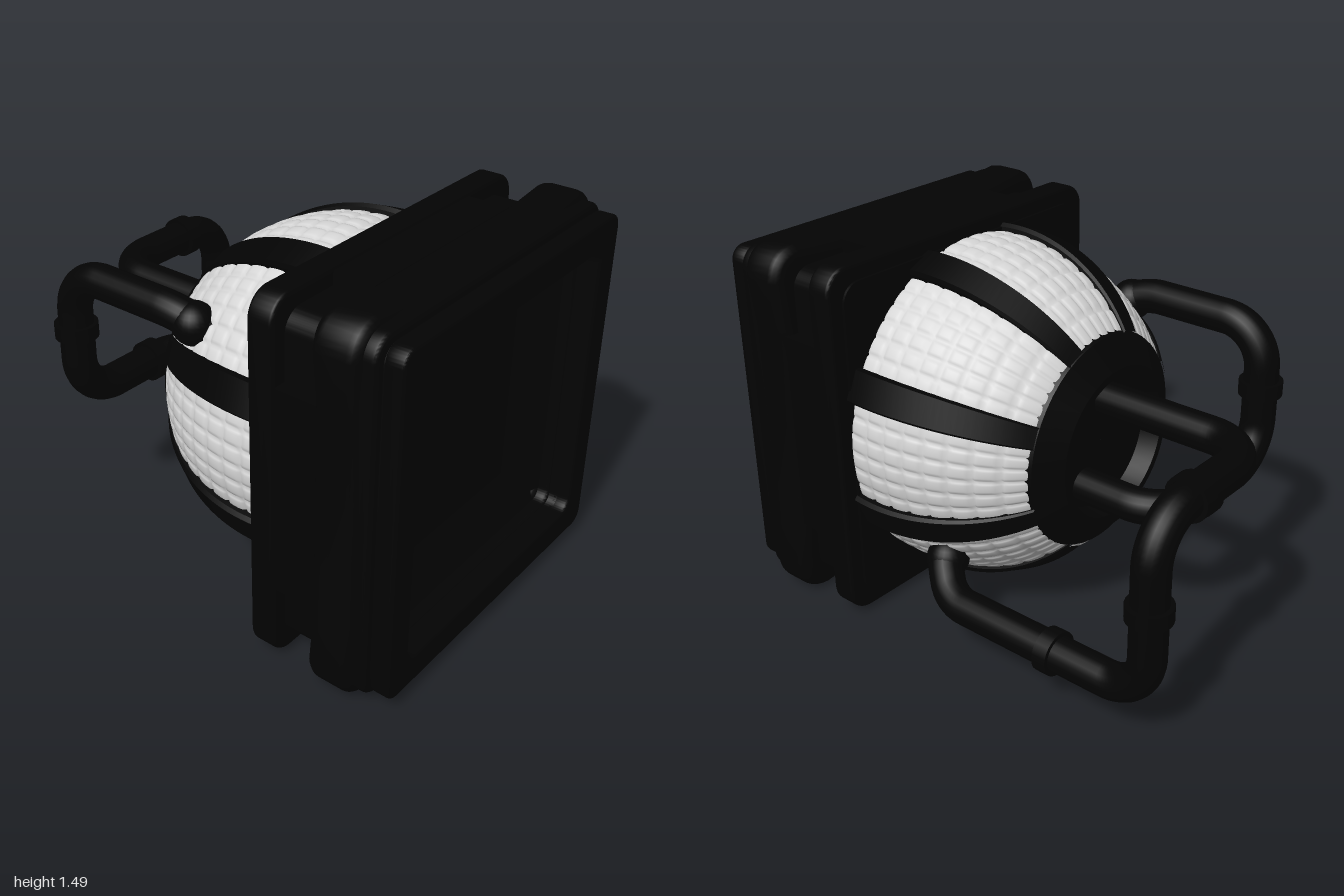
import * as THREE from 'three';
import { toCreasedNormals } from 'three/addons/utils/BufferGeometryUtils.js';

const CY = 0.745; // height of the lamp axis

export function createModel() {
  const model = new THREE.Group();
  const black = new THREE.MeshStandardMaterial({ name: 'black', color: 0x030303 });
  const white = new THREE.MeshStandardMaterial({ name: 'quilted white', color: 0xd6d6d6 });

  function add(parent, name, geo, mat = black) {
    const mesh = new THREE.Mesh(geo, mat);
    mesh.name = name;
    parent.add(mesh);
    return mesh;
  }

  // ---------- square housing: a stack of extruded outlines ----------
  const housing = new THREE.Group();
  housing.name = 'housing';
  housing.position.y = CY;
  model.add(housing);

  function roundedSquare(h, r, T = THREE.Shape) {
    const s = new T();
    s.moveTo(-h + r, -h);
    s.absarc(h - r, -h + r, r, -Math.PI / 2, 0);
    s.absarc(h - r, h - r, r, 0, Math.PI / 2);
    s.absarc(-h + r, h - r, r, Math.PI / 2, Math.PI);
    s.absarc(-h + r, -h + r, r, Math.PI, Math.PI * 1.5);
    return s;
  }

  // square with flared corners
  function flaredSquare() {
    const s = new THREE.Shape();
    for (let k = 0; k < 4; k++) {
      const c = Math.round(Math.cos(k * Math.PI / 2)), n = Math.round(Math.sin(k * Math.PI / 2));
      const p = (x, y) => [x * c - y * n, x * n + y * c];
      if (k === 0) s.moveTo(...p(-0.42, -0.722));
      else s.lineTo(...p(-0.42, -0.722));
      s.lineTo(...p(0.42, -0.722));
      s.lineTo(...p(0.62, -0.745));
      s.quadraticCurveTo(...p(0.735, -0.735), ...p(0.745, -0.62));
    }
    return s;
  }

  function slab(name, shape, z0, z1, bevel, hole) {
    if (hole) shape.holes.push(roundedSquare(hole, 0.05, THREE.Path));
    const geo = new THREE.ExtrudeGeometry(shape, {
      depth: z1 - z0 - 2 * bevel, bevelEnabled: bevel > 0, bevelThickness: bevel,
      bevelSize: bevel, bevelOffset: -bevel, bevelSegments: 4, curveSegments: 8,
    });
    geo.translate(0, 0, z0 + bevel);
    return add(housing, name, toCreasedNormals(geo, 0.6));
  }

  slab('backPlate', roundedSquare(0.726, 0.1), 0.42, 0.525, 0.015);
  slab('housingCore', roundedSquare(0.66, 0.08), 0.41, 0.72, 0);
  slab('cornerGuard', flaredSquare(), 0.68, 0.87, 0.045, 0.54);
  slab('middleRing', roundedSquare(0.714, 0.09), 0.83, 0.915, 0.02, 0.56);
  slab('neckRing', roundedSquare(0.675, 0.07), 0.9, 0.95, 0, 0.57);
  slab('frontRing', roundedSquare(0.69, 0.06), 0.925, 1, 0.012, 0.57);

  // square tray in the front opening: sloping sides and a flat floor
  const trayProfile = [[0.58, 0.88], [0.55, 0.86], [0.41, 0.77], [0.001, 0.77]]
    .map(([h, z]) => new THREE.Vector2(h * Math.SQRT2, z));
  const tray = new THREE.LatheGeometry(trayProfile, 4, Math.PI / 4);
  tray.rotateX(Math.PI / 2);
  add(housing, 'frontTray', toCreasedNormals(tray, 0.3));

  // panels filling the groove on each side
  for (let k = 0; k < 4; k++) {
    const side = new THREE.Group();
    side.name = 'housingSide';
    side.rotation.z = k * Math.PI / 2;
    housing.add(side);
    add(side, 'sidePanel', new THREE.BoxGeometry(0.82, 0.1, 0.18)).position.set(0, 0.663, 0.605);
  }

  // ---------- dome: quilted panels between eight ribs ----------
  const dome = new THREE.Group();
  dome.name = 'dome';
  dome.position.y = CY;
  model.add(dome);
  const Z0 = -0.26, Z1 = 0.42;
  const domeRadius = (z) => 0.67 * Math.sqrt(1 - ((z - 0.32) / 0.73) ** 2);

  // bends a plane grid round the dome; rule(u, v) gives [angle, extra radius]
  function domeSurface(nu, nv, rule) {
    const geo = new THREE.PlaneGeometry(1, 1, nu, nv);
    const pos = geo.attributes.position;
    for (let i = 0; i < pos.count; i++) {
      const u = pos.getX(i) + 0.5, v = pos.getY(i) + 0.5;
      const [a, dr] = rule(u, v);
      const z = Z0 + (Z1 - Z0) * v, r = domeRadius(z) + dr;
      pos.setXYZ(i, Math.cos(a) * r, Math.sin(a) * r, z);
    }
    geo.computeVertexNormals();
    return geo;
  }

  const COLS = 6, ROWS = 8, HALF = 0.32, RIB = 0.1;
  // rib cross-section: angle, and height as a share of the rib's thickness
  const ribSection = [[-RIB, -1], [-RIB, 0.6], [-RIB * 0.85, 1],
    [RIB * 0.85, 1], [RIB, 0.6], [RIB, -1]];
  for (let k = 0; k < 8; k++) {
    const mid = k * Math.PI / 4;
    add(dome, 'quiltedPanel', domeSurface(COLS * 7, ROWS * 7, (u, v) => {
      const puff = Math.abs(Math.sin(u * COLS * Math.PI) * Math.sin(v * ROWS * Math.PI));
      return [mid + (u - 0.5) * 2 * HALF, 0.01 * Math.pow(puff, 0.25)];
    }), white);
    const rib = domeSurface(5, 24, (u, v) => {
      const [a, h] = ribSection[Math.round(u * 5)];
      return [mid + Math.PI / 8 + a, h * (0.026 + 0.017 * v)];
    });
    add(dome, 'rib', toCreasedNormals(rib, 0.5));
  }

  // chamfered end cap with a hollow where the pipes enter
  const capProfile = [[0.4, 0.2], [0.435, 0.235], [0.425, 0.26], [0.32, 0.332],
    [0.29, 0.332], [0.275, 0.25], [0.001, 0.25]].map(([r, h]) => new THREE.Vector2(r, h));
  const cap = new THREE.LatheGeometry(capProfile, 48);
  cap.rotateX(-Math.PI / 2);
  add(dome, 'endCap', toCreasedNormals(cap, 0.5));

  // ---------- pipes ----------
  // corner points are [x, y, z, bend radius]
  function pipePath(pts) {
    const path = new THREE.CurvePath();
    const P = pts.map((p) => new THREE.Vector3(p[0], p[1], p[2]));
    let last = P[0];
    for (let i = 1; i < P.length - 1; i++) {
      const r = pts[i][3];
      const a = P[i].clone().add(P[i - 1].clone().sub(P[i]).setLength(r));
      const b = P[i].clone().add(P[i + 1].clone().sub(P[i]).setLength(r));
      path.add(new THREE.LineCurve3(last, a));
      const c1 = a.clone().lerp(P[i], 0.55), c2 = b.clone().lerp(P[i], 0.55);
      path.add(new THREE.CubicBezierCurve3(a, c1, c2, b));
      last = b;
    }
    path.add(new THREE.LineCurve3(last, P[P.length - 1]));
    return path;
  }

  function pipe(name, pts, socket, collars) {
    const g = new THREE.Group();
    g.name = name;
    model.add(g);
    add(g, 'tube', new THREE.TubeGeometry(pipePath(pts), 160, 0.069, 20));
    add(g, 'socket', new THREE.SphereGeometry(0.084, 24, 16)).position.set(...socket);
    for (const [x, y, z, axis] of collars) {
      const collar = add(g, 'collar', new THREE.CylinderGeometry(0.086, 0.086, 0.06, 24));
      collar.position.set(x, y, z);
      if (axis === 'x') collar.rotation.z = Math.PI / 2;
      if (axis === 'z') collar.rotation.x = Math.PI / 2;
    }
  }

  pipe('longPipe', [
    [0.4, 0.42, 0.14], [0.52, 0.31, 0.1, 0.05], [0.595, 0.21, 0, 0.07],
    [0.595, 0.21, -0.91, 0.17], [0.595, 0.91, -0.91, 0.18],
    [-0.03, 0.91, -0.91, 0.18], [-0.03, 0.91, -0.23],
  ], [0.5, 0.315, 0.1],
  [[0.595, 0.21, -0.5, 'z'], [0.595, 0.57, -0.91, 'y'], [0.38, 0.91, -0.91, 'x']]);

  pipe('shortPipe', [
    [-0.4, 1.05, 0.06], [-0.49, 1.12, -0.02, 0.05], [-0.51, 1.15, -0.12, 0.04],
    [-0.51, 1.15, -0.64, 0.17], [-0.515, 0.59, -0.64, 0.18],
    [0.1, 0.59, -0.64, 0.18], [0.1, 0.59, -0.23],
  ], [-0.49, 1.115, -0.03],
  [[-0.12, 0.59, -0.64, 'x'], [-0.513, 0.9, -0.64, 'y']]);

  return model;
}
